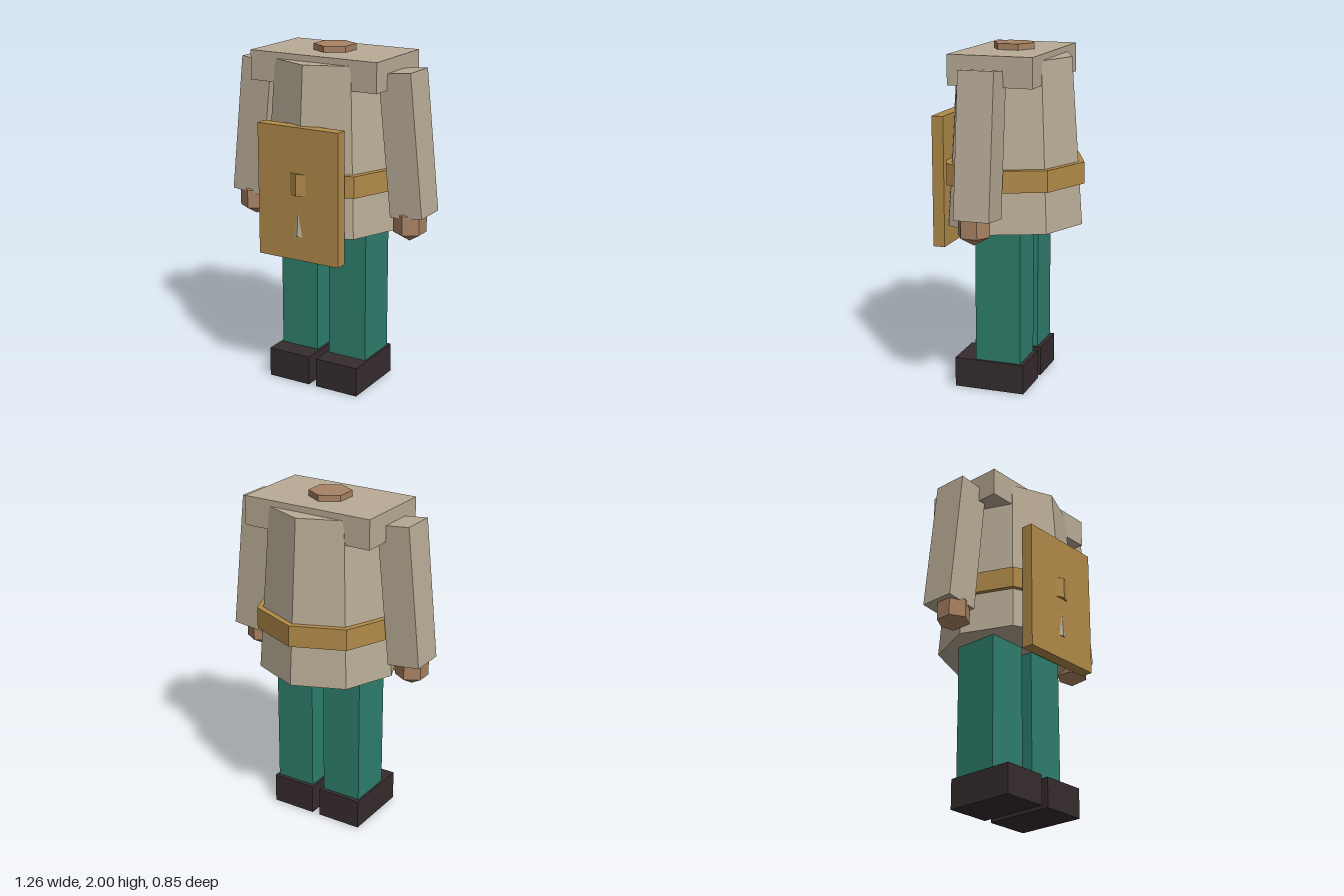
import * as THREE from 'three';

const mat = (name, color) => {
  const m = new THREE.MeshStandardMaterial({ color, flatShading: true });
  m.name = name;
  return m;
};

export function createModel() {
  const cloth = mat('linen', 0xb9ac96);
  const leather = mat('leather', 0xb18a49);
  const skin = mat('skin', 0xa98263);
  const trousers = mat('trousers', 0x2e7f6d);
  const shoes = mat('shoes', 0x362c2e);

  const model = new THREE.Group();
  model.name = 'headlessFigure';

  const add = (name, geometry, material, x, y, z) => {
    const mesh = new THREE.Mesh(geometry, material);
    mesh.name = name;
    mesh.position.set(x, y, z);
    model.add(mesh);
    return mesh;
  };
  // Box given by its limits on each axis
  const box = (name, material, x0, x1, y0, y1, z0, z1) =>
    add(name, new THREE.BoxGeometry(x1 - x0, y1 - y0, z1 - z0), material,
      (x0 + x1) / 2, (y0 + y1) / 2, (z0 + z1) / 2);
  // Upright faceted cylinder between two heights
  const prism = (name, material, rTop, rBottom, y0, y1, sides) =>
    add(name, new THREE.CylinderGeometry(rTop, rBottom, y1 - y0, sides), material, 0, (y0 + y1) / 2, 0);

  // Tunic, belt, shoulders and neck
  prism('tunic', cloth, 0.345, 0.415, 0.97, 1.93, 8);
  prism('belt', leather, 0.425, 0.425, 1.21, 1.335, 8);
  box('shoulders', cloth, -0.405, 0.405, 1.795, 1.965, -0.247, 0.247);
  prism('neck', skin, 0.122, 0.122, 1.85, 2, 6);

  // Flat apron, cut by the front ridge of the tunic and belt
  box('apron', leather, -0.26, 0.26, 0.83, 1.595, 0.334, 0.404);

  // Limbs, mirrored left and right
  for (const [side, s] of [['left', 1], ['right', -1]]) {
    const arm = add(side + 'Sleeve', new THREE.BoxGeometry(0.198, 0.81, 0.206), cloth, s * 0.49, 1.488, 0.025);
    arm.rotation.z = s * 0.105;
    const hand = add(side + 'Hand', new THREE.SphereGeometry(0.109, 6, 3), skin, s * 0.519, 1.043, 0.05);
    hand.rotation.y = Math.PI / 6;
    const leg = box(side + 'Leg', trousers, 0.04, 0.284, 0.15, 1.0, -0.135, 0.135);
    leg.position.x *= s;
    const shoe = box(side + 'Shoe', shoes, 0.025, 0.297, 0, 0.176, -0.16, 0.26);
    shoe.position.x *= s;
  }
  return model;
}
